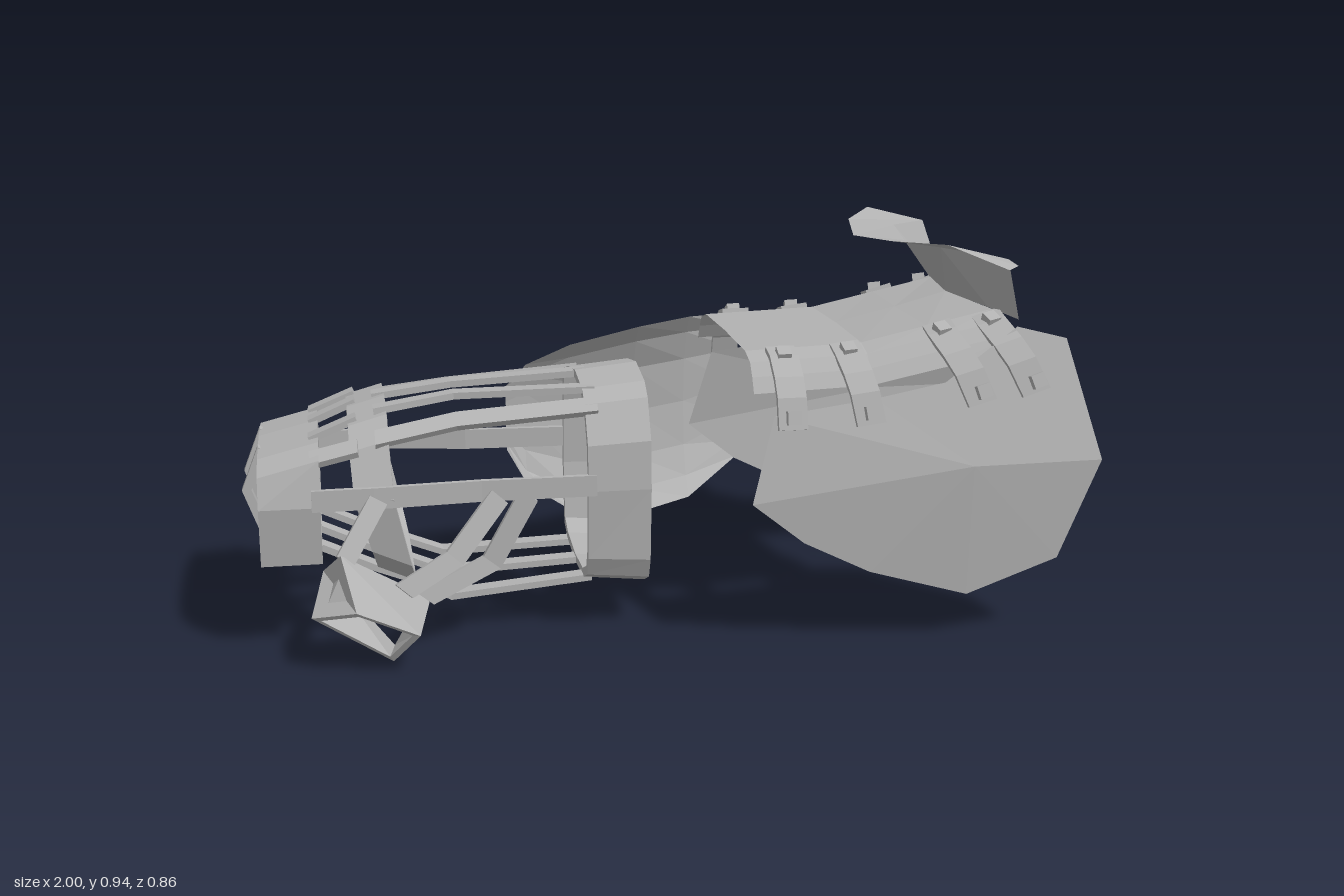
import * as THREE from 'three';

const steel = new THREE.MeshStandardMaterial({ color: 0xb2b2b2, side: THREE.DoubleSide, flatShading: true });
steel.name = 'grey steel';
const V = (p) => new THREE.Vector3(...p);

// Skin a list of cross-sections (arrays of [x,y,z]) with quads
function loft(name, sections, { wrap = false, caps = false, closeEnds = false } = {}) {
  const pos = [];
  const quad = (a, b, c, d) => pos.push(...a, ...b, ...c, ...a, ...c, ...d);
  const rows = closeEnds ? [...sections, sections[0]] : sections;
  for (let i = 0; i + 1 < rows.length; i++) {
    const n = rows[i].length;
    for (let j = 0; j < (wrap ? n : n - 1); j++) {
      const k = (j + 1) % n;
      quad(rows[i][j], rows[i][k], rows[i + 1][k], rows[i + 1][j]);
    }
  }
  if (caps) for (const s of [sections[0], sections.at(-1)]) quad(...s);
  const g = new THREE.BufferGeometry();
  g.setAttribute('position', new THREE.Float32BufferAttribute(pos, 3));
  g.computeVertexNormals();
  const mesh = new THREE.Mesh(g, steel);
  mesh.name = name;
  return mesh;
}

// Flat strap of width w and thickness t along a path
function strap(name, path, side, w, t = 0.016) {
  const pts = path.map(V), s = V(side).normalize();
  const sections = pts.map((p, i) => {
    const tan = pts[Math.min(i + 1, pts.length - 1)].clone().sub(pts[Math.max(i - 1, 0)]);
    const n = tan.cross(s).normalize();
    return [[1, 1], [-1, 1], [-1, -1], [1, -1]].map(([a, b]) =>
      p.clone().addScaledVector(s, a * w / 2).addScaledVector(n, b * t / 2).toArray());
  });
  return loft(name, sections, { wrap: true, caps: true });
}

// Thick open ring between two loops; the inside is shrunk towards each loop's centre
function ring(name, a, b, k = 0.92) {
  const shrink = (loop) => {
    const c = loop.reduce((m, p) => m.add(V(p)), new THREE.Vector3()).divideScalar(loop.length);
    return loop.map((p) => c.clone().lerp(V(p), k).toArray());
  };
  return loft(name, [a, b, shrink(b), shrink(a)], { wrap: true, closeEnds: true });
}

function buildHand() {
  const hand = new THREE.Group();
  hand.name = 'handCage';
  // Wrist cuff, [z, y] outline
  const cuff = [[0, .62], [.124, .6], [.17, .57], [.22, .476], [.226, .36], [.21, .18], [.186, .13], [.117, .1],
    [-.03, .092], [-.18, .107], [-.24, .134], [-.262, .3], [-.255, .47], [-.233, .571], [-.13, .6]];
  hand.add(ring('wristCuff', cuff.map(([z, y]) => [-.05, y, z]),
    cuff.map(([z, y]) => [-.2, .36 + (y - .36) * .94, z])));
  // Knuckle band, slanting towards the wrist at the bottom
  const knuckle = [[0, .56], [.13, .545], [.2, .5], [.245, .37], [.22, .2], [.15, .14], [-.05, .13], [-.22, .14],
    [-.29, .2], [-.325, .37], [-.28, .5], [-.2, .545]];
  const slant = (y) => -.715 + Math.max(0, .4 - y) * .22;
  hand.add(ring('knuckleBand', knuckle.map(([z, y]) => [slant(y) + .055, y, z]),
    knuckle.map(([z, y]) => [slant(y) - .035, y + (y > .45 ? -.025 : y < .25 ? .04 : 0), z]), 0.93));
  // Fingertip band
  const tip = [[-.03, .465], [.15, .455], [.225, .43], [.25, .36], [.23, .22], [.16, .235], [-.03, .24], [-.22, .235],
    [-.29, .22], [-.32, .36], [-.3, .43], [-.2, .455]];
  hand.add(ring('fingertipBand', tip.map(([z, y]) => [-.82, y > .4 ? y + .035 : y, z]),
    tip.map(([z, y]) => [-.96, y, z]), 0.94));
  for (const z of [.06, -.12])
    hand.add(strap('fingerDivider', [[-.95, .46, z], [-.99, .36, z], [-.945, .24, z]], [0, 0, 1], .028, .022));
  // Straps over the back of the hand: z and y at knuckle, middle and cuff, and sideways tilt
  for (const [a, b, c, ya, yb, yc, tilt] of [[-.27, -.235, -.215, .505, .535, .563, .4], [-.05, -.065, -.04, .55, .57, .592, 0],
    [.09, .06, .105, .547, .57, .583, 0], [.19, .165, .165, .5, .53, .553, -.7]])
    hand.add(strap('topStrap', [[-.69, ya, a], [-.5, yb, b], [-.17, yc, c]], [0, tilt, 1], .045));
  for (const [z, y0, y1] of [[-.18, .485, .53], [-.045, .493, .54], [.09, .485, .53], [.2, .46, .485]])
    hand.add(strap('fingerStrap', [[-.84, y0, z], [-.73, y1, z]], [0, z > .15 ? -.5 : 0, 1], .048));
  // Straps along both sides
  hand.add(strap('leftSideStrap', [[-.84, .375, .243], [-.7, .375, .24], [-.45, .375, .22], [-.18, .375, .22]], [0, 1, 0], .05));
  hand.add(strap('rightSideStrap', [[-.84, .375, -.312], [-.7, .375, -.316], [-.45, .375, -.265], [-.18, .375, -.254]], [0, 1, 0], .05));
  // Straps under the palm
  for (const [z, zc, dip] of [[.12, .1, .085], [-.03, -.04, .1], [-.19, -.19, .105]])
    hand.add(strap('palmStrap', [[-.84, .24, z], [-.7, .175, z], [-.61, .14, z], [-.52, dip, zc], [-.18, .115, zc]], [0, 0, 1], .045));
  // Thumb ring and its straps
  hand.add(ring('thumbRing',
    [[-.85, .135, .36], [-.67, .025, .37], [-.61, .1, .42], [-.75, .165, .43]],
    [[-.82, .21, .25], [-.655, .003, .27], [-.575, .12, .22], [-.78, .267, .32]], .84));
  hand.add(strap('thumbStrap', [[-.64, .17, .31], [-.52, .23, .27], [-.41, .36, .225]], [1, -.9, 0], .05));
  hand.add(strap('thumbStrap', [[-.59, .13, .25], [-.43, .2, .22], [-.34, .36, .22]], [1, -.8, 0], .05));
  hand.add(strap('thumbStrap', [[-.77, .25, .31], [-.69, .37, .243]], [1, -.6, 0], .045));
  return hand;
}

function buildForearm() {
  // Per station: x, top y, bottom y, outermost z, edge z
  const stations = [[-.34, .5, .33, -.315, -.305], [-.29, .56, .24, -.325, -.28], [-.18, .615, .175, -.34, -.245],
    [0, .655, .16, -.355, -.25], [.14, .667, .18, -.38, -.3], [.29, .655, .26, -.425, -.4]];
  const bow = [[0, 0], [.1, .5], [.26, .87], [.5, 1], [.74, .87], [.9, .5], [1, 0]];
  return loft('forearmPlate', stations.map(([x, t, b, zo, ze]) =>
    bow.map(([f, k]) => [x, t + (b - t) * f, ze + (zo - ze) * k])));
}

function buildShoulder() {
  const shoulder = new THREE.Group();
  shoulder.name = 'shoulderArmour';
  // Arched cap, [z, y drop] outline lofted through x at the crown, x at the sides, crown height
  const arch = [[.33, -.085], [.31, -.05], [.285, -.02], [.23, -.004], [0, 0]];
  const half = [...arch, ...arch.slice(0, 4).reverse().map(([z, y]) => [-z, y])];
  shoulder.add(loft('shoulderCap', [[.17, .17, .69], [.45, .45, .7], [.6, .62, .735], [.73, .81, .77]].map(([xc, xs, y]) =>
    half.map(([z, dy]) => [xc + (xs - xc) * (Math.abs(z) / .33) ** 2, y + dy, z]))));
  // Flared collar, given as half rows and mirrored
  const mirror = (row) => [...row, ...row.slice(1).map(([x, y, z]) => [x, y, -z])].sort((a, b) => a[2] - b[2]);
  shoulder.add(loft('collar', [
    [[.73, .77, 0], [.76, .77, .23], [.815, .75, .29]],
    [[.62, .9, 0], [.65, .91, .19], [.77, .9, .325]],
    [[.49, .915, 0], [.53, .928, .19], [.62, .938, .33]],
  ].map(mirror)));
  for (const s of [1, -1])
    shoulder.add(loft('collarTip', [[[.62, .938, .33 * s], [.74, .89, .415 * s]], [[.77, .9, .325 * s], [.77, .895, .39 * s]]]));

  for (const s of [1, -1]) {
    const wing = new THREE.Group();
    wing.name = s > 0 ? 'leftSideGuard' : 'rightSideGuard';
    // Faceted side plate, a shallow fan that leans in at the top
    const rim = [[.155, .36], [.21, .56], [.45, .59], [.62, .62], [.8, .74], [.92, .71], [.995, .43], [.9, .19],
      [.68, .11], [.44, .18], [.28, .26], [.155, .36]];
    const depth = (x, y) => s * (y > .43 ? .4 - (y - .43) * .25 : .4 - (.43 - y) * .05) - (s < 0 ? (x - .5) * .06 : 0);
    wing.add(loft('sidePlate', [rim.map(([x, y]) => [x, y, depth(x, y)]),
      rim.map(() => [.68, .43, depth(.68, .43) + s * .008])]));
    // Riveted straps joining cap and plate
    for (const [x, y, lean] of [[.25, .69, 0], [.405, .695, .03], [.63, .735, .07], [.75, .755, .08]]) {
      const path = [[x, y, .24], [x, y - .012, .285], [x + lean * .3, y - .05, .335], [x + lean * .6, y - .09, .365],
        [x + lean, y - .16, .385]].map(([a, b, c]) => [a, b, c * s]);
      wing.add(strap('strap', path, [1, lean * 4, 0], .068, .014));
      for (const i of [1, 4]) {
        const rivet = new THREE.Mesh(new THREE.BoxGeometry(.032, .032, .024), steel);
        rivet.name = 'rivet';
        const [px, py, pz] = path[i];
        rivet.position.set(px, py + (i === 4 ? .03 : .008), pz + s * (i === 4 ? .006 : -.005));
        rivet.rotation.set(i === 1 ? -s * 1.1 : -s * .25, 0, lean * 4);
        wing.add(rivet);
      }
    }
    shoulder.add(wing);
  }
  return shoulder;
}

export function createModel() {
  const model = new THREE.Group();
  model.name = 'armArmour';
  model.add(buildHand(), buildForearm(), buildShoulder());
  return model;
}
